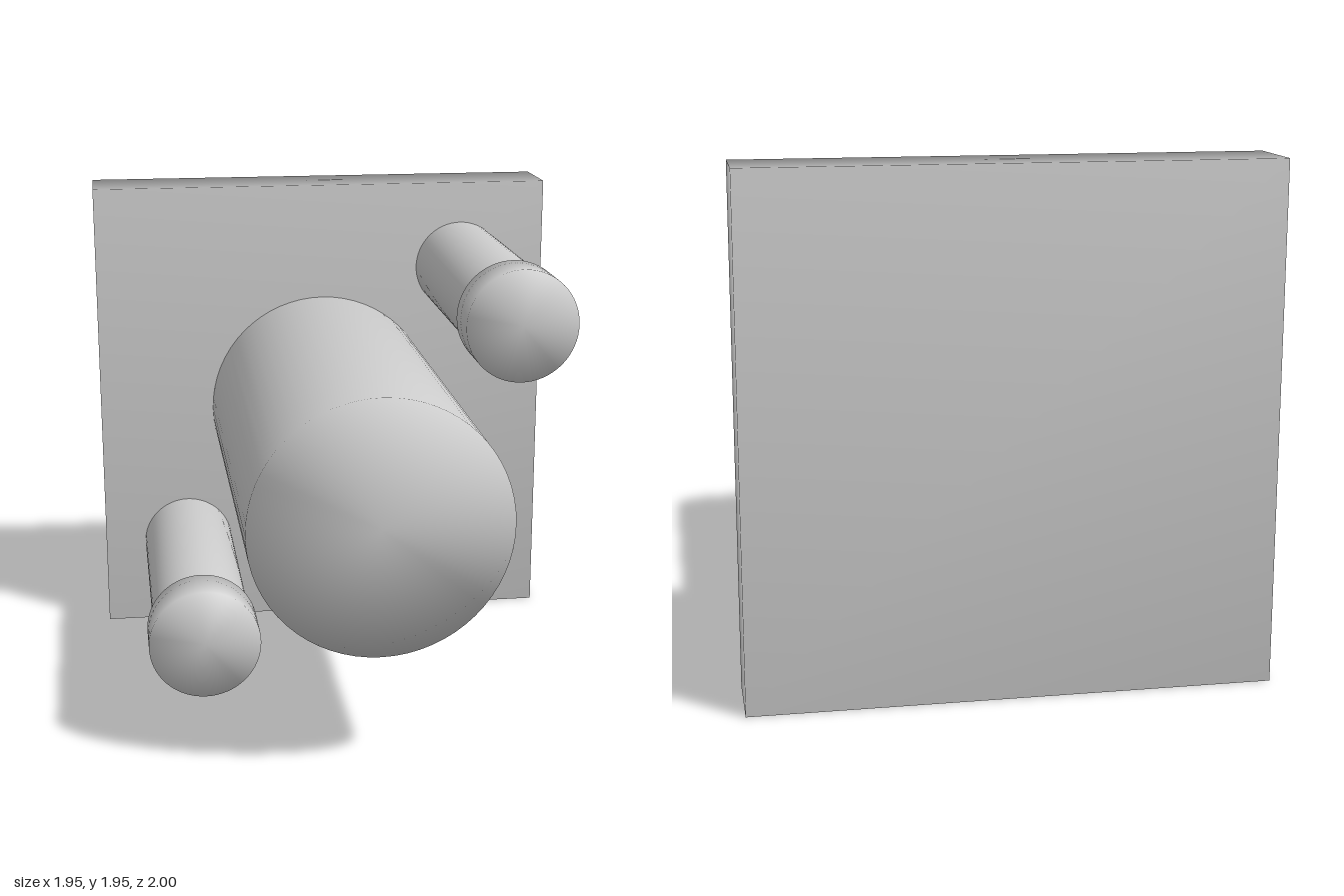
import * as THREE from 'three';
import { mergeVertices } from 'three/addons/utils/BufferGeometryUtils.js';

const material = new THREE.MeshStandardMaterial({ color: 0xcccccc });
const CENTRE_Y = 0.977;
const PLATE_FRONT = -0.71;

// Weld the corners so the shading runs softly across every edge.
function soften(geometry) {
  geometry.deleteAttribute('normal');
  geometry.deleteAttribute('uv');
  const welded = mergeVertices(geometry, 1e-4);
  welded.computeVertexNormals();
  return welded;
}

function addPart(parent, name, geometry, x, y, z) {
  const mesh = new THREE.Mesh(soften(geometry), material);
  mesh.name = name;
  mesh.position.set(x, y, z);
  parent.add(mesh);
}

// Capped rod lying along z between two depths.
function addRod(parent, name, radius, x, y, back, front) {
  const rod = new THREE.CylinderGeometry(radius, radius, front - back, 64);
  rod.rotateX(Math.PI / 2);
  addPart(parent, name, rod, x, y, (back + front) / 2);
}

export function createModel() {
  const model = new THREE.Group();
  model.name = 'mountingPlateWithPins';

  // Square back plate
  addPart(model, 'backPlate', new THREE.BoxGeometry(1.954, 1.954, 1 + PLATE_FRONT),
    0, CENTRE_Y, (PLATE_FRONT - 1) / 2);

  // Thick central post
  addRod(model, 'centralPost', 0.487, 0, CENTRE_Y, PLATE_FRONT, 1);

  // Headed pins on opposite corners
  for (const side of [1, -1]) {
    const pin = new THREE.Group();
    pin.name = side > 0 ? 'upperLeftPin' : 'lowerRightPin';
    pin.position.set(0.61 * side, CENTRE_Y + 0.61 * side, 0);
    addRod(pin, 'pinShaft', 0.193, 0, 0, PLATE_FRONT, 0.32);
    addRod(pin, 'pinHead', 0.217, 0, 0, 0.32, 0.51);
    model.add(pin);
  }

  return model;
}
